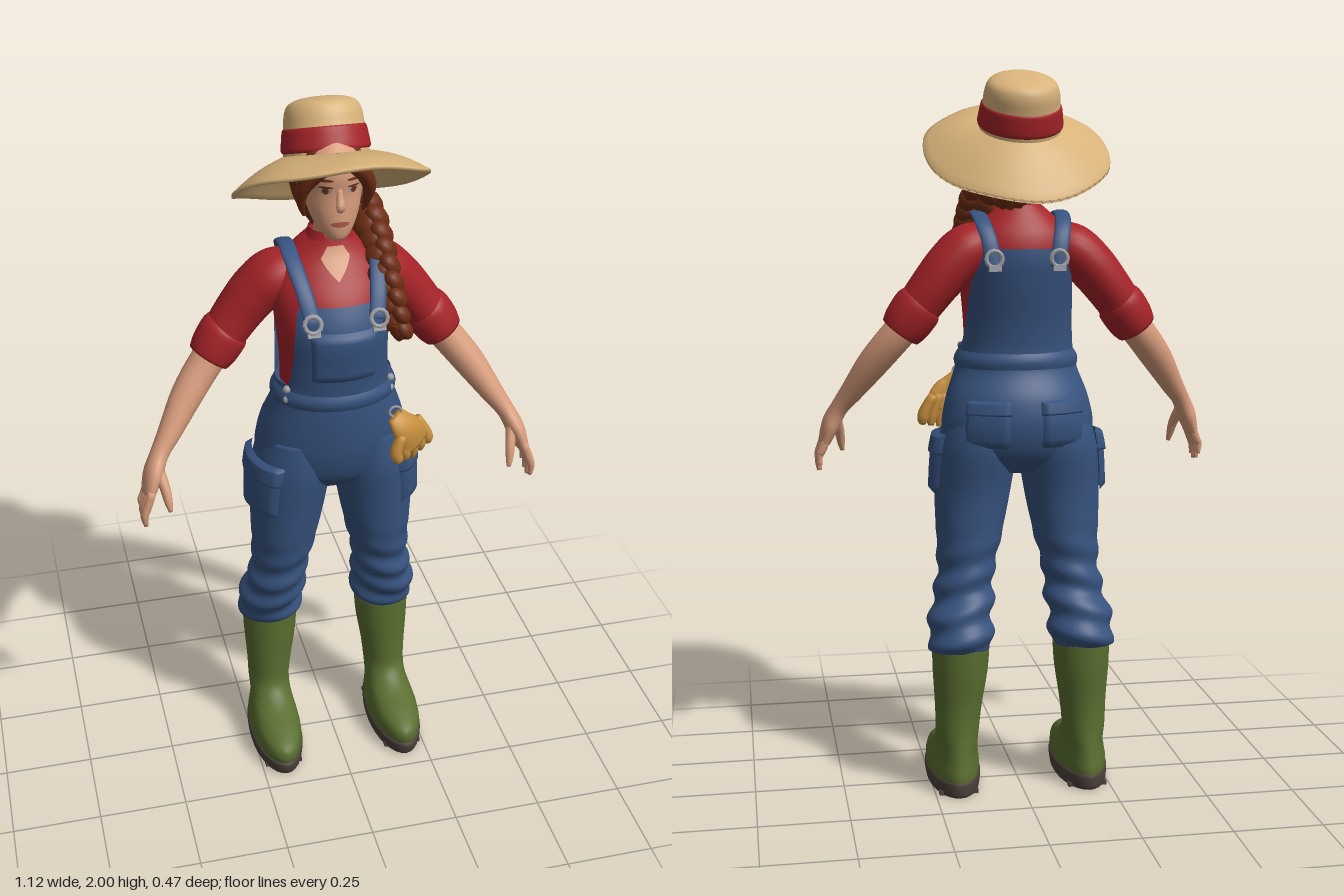
import * as THREE from 'three';
import { mergeVertices } from 'three/addons/utils/BufferGeometryUtils.js';

const COLORS = {
  straw: 0xd8b27a, red: 0xa52328, skin: 0xd79c7c, hair: 0x6e2e14, denim: 0x37537f,
  bootGreen: 0x5a6e30, sole: 0x4c403b, gloveTan: 0xc8903e, metal: 0x9a9ca2, lips: 0xa8574a,
};
const V = (x, y, z) => new THREE.Vector3(x, y, z);
const rad = THREE.MathUtils.degToRad;
const { lerp, clamp, smoothstep } = THREE.MathUtils;

// Catmull-Rom interpolation of every column in a table of rows
function sample(rows, t) {
  const n = rows.length - 1, s = clamp(t, 0, 1) * n, i = Math.min(Math.floor(s), n - 1), k = s - i;
  const p = (j) => rows[clamp(j, 0, n)];
  return rows[0].map((_, c) => {
    const a = p(i - 1)[c], b = p(i)[c], d = p(i + 1)[c], e = p(i + 2)[c];
    return b + 0.5 * k * (d - a + k * (2 * a - 5 * b + 4 * d - e + k * (3 * (b - d) + e - a)));
  });
}

// Grid surface from f(u, v, row)
function patch(f, nu, nv) {
  const pos = [], idx = [];
  for (let j = 0; j <= nv; j++) for (let i = 0; i <= nu; i++) pos.push(...f(i / nu, j / nv, j).toArray());
  for (let j = 0; j < nv; j++) for (let i = 0; i < nu; i++) {
    const a = j * (nu + 1) + i, c = a + nu + 1;
    idx.push(a, c, a + 1, a + 1, c, c + 1);
  }
  let g = new THREE.BufferGeometry();
  g.setAttribute('position', new THREE.Float32BufferAttribute(pos, 3));
  g.setIndex(idx);
  g = mergeVertices(g, 1e-5);
  g.computeVertexNormals();
  return g;
}

// Point on a body made of level rings; rows are [y, centreX, radiusX, zFront, zBack]
function ringPoint(r, th, off = 0) {
  return V(r[1] + (r[2] + off) * Math.cos(th), r[0], (r[3] + r[4]) / 2 + ((r[3] - r[4]) / 2 + off) * Math.sin(th));
}
function atHeight(rows, y) {
  let lo = 0, hi = 1;
  for (let i = 0; i < 24; i++) { const m = (lo + hi) / 2; if (sample(rows, m)[0] < y) lo = m; else hi = m; }
  return sample(rows, lo);
}
function loft(rows, nu = 36, nv = 40, bump = () => 0) {
  return patch((u, v, j) => {
    const t = (j - 1) / (nv - 2), r = sample(rows, t), th = u * Math.PI * 2;
    if (j === 0 || j === nv) return V(r[1], r[0], (r[3] + r[4]) / 2);
    return ringPoint(r, th, bump(th, r[0]));
  }, nu, nv);
}
// Raised piece lying on a ring body between two angles (degrees) and two heights
function overlay(rows, a0, a1, y0, y1, off) {
  return patch((u, v) => {
    const edge = u === 0 || u === 1 || v === 0 || v === 1;
    return ringPoint(atHeight(rows, lerp(y0, y1, v)), rad(lerp(a0, a1, u)), edge ? off * 0.3 : off);
  }, 14, 10);
}
// Flat oval lying on a ring body
function oval(rows, aDeg, y, wDeg, h, off) {
  return patch((u, v) => ringPoint(atHeight(rows, y + v * h * Math.sin(u * 2 * Math.PI)),
    rad(aDeg - v * wDeg * Math.cos(u * 2 * Math.PI)), off), 18, 3);
}
// Tube with oval section; rows are [x, y, z, thickness, width along ref]
function limb(rows, ref = V(0, 0, 1), nu = 16, nv = 18) {
  return patch((u, v, j) => {
    const t = clamp((j - 1) / (nv - 2), 0, 1), r = sample(rows, t), p = V(r[0], r[1], r[2]);
    if (j === 0 || j === nv) return p;
    const q = sample(rows, t + 0.01), o = sample(rows, t - 0.01), th = u * Math.PI * 2;
    const T = V(q[0] - o[0], q[1] - o[1], q[2] - o[2]).normalize();
    const A = T.clone().cross(ref).normalize(), B = A.clone().cross(T);
    return p.addScaledVector(A, r[3] * Math.cos(th)).addScaledVector(B, r[4] * Math.sin(th));
  }, nu, nv);
}
function mirrored(g) {
  const m = g.clone().scale(-1, 1, 1), ix = m.index.array;
  for (let i = 0; i < ix.length; i += 3) [ix[i], ix[i + 1]] = [ix[i + 1], ix[i]];
  m.computeVertexNormals();
  return m;
}

export function createModel() {
  const root = new THREE.Group(), mats = {};
  root.name = 'farmer';
  for (const [name, color] of Object.entries(COLORS)) {
    mats[name] = new THREE.MeshStandardMaterial({ color, side: THREE.DoubleSide });
    mats[name].name = name;
  }
  const add = (name, mat, g, parent = root) => {
    const m = new THREE.Mesh(g, mats[mat]);
    m.name = name;
    parent.add(m);
    return m;
  };
  const pair = (name, mat, g) => { add(name + 'Left', mat, g); add(name + 'Right', mat, mirrored(g)); };

  // Shirt body
  const torso = [[1.12, 0, .17, .12, -.11], [1.18, 0, .16, .13, -.105], [1.25, 0, .146, .135, -.1], [1.33, 0, .147, .145, -.11],
    [1.42, 0, .155, .153, -.13], [1.5, 0, .16, .12, -.143], [1.56, 0, .145, .075, -.135], [1.61, 0, .1, .04, -.11], [1.65, 0, .055, .025, -.085]];
  add('shirtBody', 'red', loft(torso, 40, 44));
  add('neckOpening', 'skin', patch((u, v) => ringPoint(atHeight(torso, lerp(1.55, 1.63, v)), rad(90 + (u - .5) * 60 * v), .006), 8, 8));
  add('collar', 'red', patch((u, v) => {
    const a = rad(115 + 310 * u), r = lerp(.075, .054, v);
    return V(r * Math.cos(a), lerp(1.605, 1.665, v), -.025 + r * Math.sin(a));
  }, 30, 4));
  pair('collarFlap', 'red', patch((u, v) => ringPoint(atHeight(torso, lerp(1.64 - .07 * Math.sin(u * 3), 1.645, v)), rad(lerp(78, 35, u)), .014), 8, 6));

  // Overalls: seat, bib and back panel
  const hips = [[.91, 0, .14, .06, -.08], [.96, 0, .2, .11, -.135], [1.04, 0, .213, .138, -.163], [1.12, 0, .198, .148, -.155],
    [1.19, 0, .173, .15, -.122], [1.25, 0, .16, .147, -.112]];
  add('overallSeat', 'denim', loft(hips, 40, 30));
  add('overallBib', 'denim', patch((u, v) => {
    const deg = u * 360, front = Math.abs(deg - 90), back = Math.abs(deg - 270);
    const rise = Math.max(.24 * (1 - smoothstep(front, 38, 62)), .27 * (1 - smoothstep(back, 36, 82)));
    return ringPoint(atHeight(torso, lerp(1.19, 1.26 + rise, v)), rad(deg), .014);
  }, 96, 18));
  add('waistband', 'denim', patch((u, v) => ringPoint(atHeight(hips, lerp(1.2, 1.247, v)), u * 2 * Math.PI, .008 * Math.sin(v * Math.PI)), 40, 5));
  add('bibPocket', 'denim', overlay(torso, 56, 124, 1.285, 1.445, .024));
  pair('backPocket', 'denim', overlay(hips, -78, -42, .99, 1.11, .012));
  pair('backPocketFlap', 'denim', overlay(hips, -79, -41, 1.08, 1.12, .018));

  // Shoulder straps and buckles
  pair('strap', 'denim', limb([[.085, 1.47, .158, .007, .022], [.098, 1.54, .115, .007, .022], [.112, 1.6, .045, .007, .022], [.115, 1.623, -.03, .007, .022],
    [.11, 1.6, -.1, .007, .022], [.097, 1.55, -.14, .007, .022], [.088, 1.48, -.155, .007, .022]], V(1, 0, 0), 12, 30));
  for (const [z, y, tilt] of [[.165, 1.475, -.4], [-.163, 1.505, .1]]) {
    pair('buckle', 'metal', new THREE.TorusGeometry(.022, .006, 6, 12).rotateX(tilt).translate(.088, y, z));
    pair('buckleClip', 'metal', new THREE.BoxGeometry(.034, .016, .012).rotateX(tilt).translate(.087, y - .025, z + .006 * Math.sign(z)));
  }
  for (const y of [1.22, 1.25]) pair('sideButton', 'metal', new THREE.SphereGeometry(.011, 10, 8).translate(.143, y, .085));

  // Trouser legs with folds above the boots
  const leg = [[.42, .172, .086, 0, -.163], [.45, .172, .09, .025, -.168], [.5, .17, .088, .04, -.158], [.56, .158, .084, .06, -.128],
    [.63, .15, .08, .068, -.112], [.72, .139, .091, .088, -.113], [.85, .127, .106, .106, -.116], [.98, .113, .111, .124, -.138], [1.08, .1, .095, .12, -.13]];
  pair('trouserLeg', 'denim', loft(leg, 40, 56, (th, y) =>
    .007 * Math.sin(y * 75 + 2 * Math.sin(th + 1)) * (1 - smoothstep(y, .55, .8))));
  pair('cargoPocket', 'denim', overlay(leg, -25, 62, .85, 1.0, .018));
  pair('cargoPocketFlap', 'denim', overlay(leg, -27, 64, .96, 1.02, .024));

  // Rubber boots
  const boot = [[.03, .185, .07, .2, -.155], [.06, .185, .074, .21, -.157], [.09, .184, .07, .198, -.152], [.115, .183, .064, .14, -.148],
    [.14, .182, .06, .06, -.144], [.18, .182, .061, .012, -.14], [.25, .179, .066, .006, -.14], [.35, .174, .077, .008, -.152], [.43, .172, .081, .01, -.158]];
  pair('boot', 'bootGreen', loft(boot, 32, 40));
  pair('bootSole', 'sole', loft([[0, .185, .07, .2, -.15], [.008, .185, .074, .208, -.158], [.04, .185, .077, .214, -.16], [.046, .185, .07, .205, -.155]], 32, 10));
  for (let i = 0; i < 5; i++) pair('soleTread', 'sole', new THREE.BoxGeometry(.11, .012, .022).translate(.185, .007, -.11 + i * .065));

  // Arms, rolled sleeves and hands
  pair('sleeve', 'red', limb([[.08, 1.55, -.045, .05, .06], [.14, 1.528, -.05, .068, .082], [.19, 1.485, -.058, .068, .08], [.24, 1.425, -.06, .064, .072],
    [.3, 1.345, -.052, .058, .062]], V(0, 0, 1), 24, 24));
  pair('sleeveCuff', 'red', limb([[.27, 1.385, -.056, .06, .064], [.282, 1.37, -.055, .068, .07], [.31, 1.33, -.05, .066, .068], [.328, 1.305, -.046, .058, .062]], V(0, 0, 1), 24, 12));
  pair('forearm', 'skin', limb([[.29, 1.35, -.05, .046, .048], [.345, 1.285, -.035, .046, .048], [.4, 1.215, -.005, .043, .043], [.455, 1.135, .035, .032, .034],
    [.49, 1.085, .06, .025, .031], [.512, 1.04, .08, .026, .045], [.53, .99, .093, .018, .045]], V(0, 0, 1), 18, 30));
  for (let i = 0; i < 4; i++) {
    const z = .058 + i * .024, drop = [.022, .006, 0, .01][i];
    pair('finger', 'skin', limb([[.523, 1.01, z, .012, .012], [.54, .965, z + .004, .012, .012], [.548, .93 + drop, z + .006, .01, .01], [.546, .9 + drop, z + .004, .006, .006]], V(0, 0, 1), 10, 10));
  }
  pair('thumb', 'skin', limb([[.5, 1.06, .085, .016, .018], [.487, 1.01, .12, .014, .014], [.482, .975, .135, .011, .011], [.478, .95, .142, .006, .006]], V(0, 0, 1), 10, 10));

  // Work gloves hanging at the hip
  add('gloveCuff', 'gloveTan', limb([[.145, 1.16, .135, .012, .03], [.165, 1.13, .142, .022, .042], [.185, 1.1, .138, .024, .05], [.2, 1.06, .13, .02, .055]], V(.85, 0, -.5)));
  for (let i = 0; i < 5; i++) {
    const x = .14 + i * .027, z = .168 - i * .021;
    add('gloveFinger', 'gloveTan', limb([[lerp(x, .185, .4), 1.11, z - .005, .014, .014], [x, 1.065, z, .018, .017], [x + .006, 1.04, z, .016, .016],
      [x + .008, 1.012 + .008 * Math.abs(i - 2), z - .005, .008, .008]], V(1, 0, 0), 10, 10));
  }
  add('gloveLoop', 'metal', new THREE.TorusGeometry(.016, .004, 6, 14).translate(.145, 1.17, .135));

  // Head and face
  const head = [[1.662, 0, .008, .075, .055], [1.672, 0, .03, .09, .02], [1.7, 0, .052, .096, -.03], [1.74, 0, .068, .095, -.06],
    [1.79, 0, .077, .092, -.08], [1.84, 0, .081, .096, -.09], [1.88, 0, .074, .082, -.09], [1.92, 0, .04, .04, -.07]];
  add('neck', 'skin', limb([[0, 1.58, -.03, .05, .05], [0, 1.64, -.022, .043, .043], [0, 1.74, 0, .045, .045]]));
  add('head', 'skin', loft(head, 32, 32));
  add('nose', 'skin', limb([[0, 1.808, .088, .006, .007], [0, 1.78, .097, .007, .01], [0, 1.762, .103, .01, .012], [0, 1.75, .094, .005, .008]], V(1, 0, 0), 10, 10));
  pair('ear', 'skin', new THREE.SphereGeometry(1, 12, 10).scale(.012, .03, .018).translate(.08, 1.775, -.005));
  pair('eyeWhite', 'metal', oval(head, 64, 1.806, 12, .009, .003));
  pair('iris', 'hair', oval(head, 64, 1.806, 6, .0085, .005));
  pair('upperLid', 'hair', oval(head, 64, 1.816, 14, .003, .005));
  pair('eyebrow', 'hair', oval(head, 63, 1.834, 15, .004, .004));
  add('mouth', 'lips', oval(head, 90, 1.716, 23, .0075, .004));

  // Hair with swept fringe and a side braid
  add('hairBack', 'hair', loft([[1.63, .02, .035, -.03, -.09], [1.68, .02, .072, -.015, -.12], [1.73, .008, .09, .005, -.13], [1.79, 0, .1, .025, -.135],
    [1.85, 0, .102, .05, -.135], [1.89, 0, .088, .06, -.13], [1.93, 0, .04, .02, -.1]], 32, 30, (th) => .004 * Math.sin(th * 9)));
  pair('fringe', 'hair', limb([[-.005, 1.885, .08, .016, .02], [.03, 1.872, .088, .02, .022], [.065, 1.84, .07, .022, .024], [.088, 1.795, .045, .018, .026],
    [.086, 1.75, .03, .01, .018], [.078, 1.72, .025, .004, .006]]));
  const braid = new THREE.CatmullRomCurve3([V(.05, 1.72, -.1), V(.1, 1.7, -.075), V(.118, 1.64, -.01), V(.127, 1.56, .075), V(.138, 1.48, .125), V(.15, 1.42, .135)]);
  const knots = 20;
  for (let i = 0; i < knots; i++) {
    const t = i / (knots - 1), s = i % 2 ? 1 : -1, p = braid.getPointAt(t), w = lerp(1.15, .75, t);
    const m = add('braidLobe', 'hair', new THREE.SphereGeometry(1, 14, 10));
    m.scale.set(.028 * w, .042 * w, .034 * w);
    m.position.set(p.x + s * .017 * w, p.y, p.z + s * .008);
    m.rotation.set(.4, 0, s * .6);
  }
  add('braidTail', 'hair', limb([[.148, 1.44, .135, .026, .026], [.152, 1.41, .135, .024, .024], [.152, 1.385, .13, .006, .006]]));

  // Straw hat: crown and band tilt back, brim droops behind
  const crown = new THREE.Group();
  crown.name = 'hatCrown';
  crown.position.set(0, 1.845, -.05);
  crown.rotation.x = rad(-21);
  root.add(crown);
  const lathe = (pts) => new THREE.LatheGeometry(new THREE.SplineCurve(pts.map((p) => new THREE.Vector2(...p))).getPoints(24), 40);
  add('crownStraw', 'straw', lathe([[.112, -.005], [.109, .04], [.104, .08], [.1, .11], [.088, .133], [.06, .145], [.03, .149], [0, .15]]), crown);
  add('hatBand', 'red', lathe([[.112, .012], [.116, .02], [.113, .045], [.109, .068], [.104, .074]]), crown);
  add('hatBrim', 'straw', patch((u, v) => {
    const a = -u * 2 * Math.PI, w = v < .5 ? v * 2 : 2 - v * 2, c = Math.cos(a), s = Math.sin(a);
    const zi = -.05 + .1 * s, zo = .243 * s;
    const y = lerp(1.852 + .38 * (zi + .05), 1.785 + .54 * zo, w) + .012 * Math.sin(w * Math.PI) + .004 * w * Math.sin(5 * a + 1);
    return V(lerp(.108, .263, w) * c, y - (v > .5 ? .009 : 0), lerp(zi, zo, w));
  }, 64, 21));
  return root;
}
